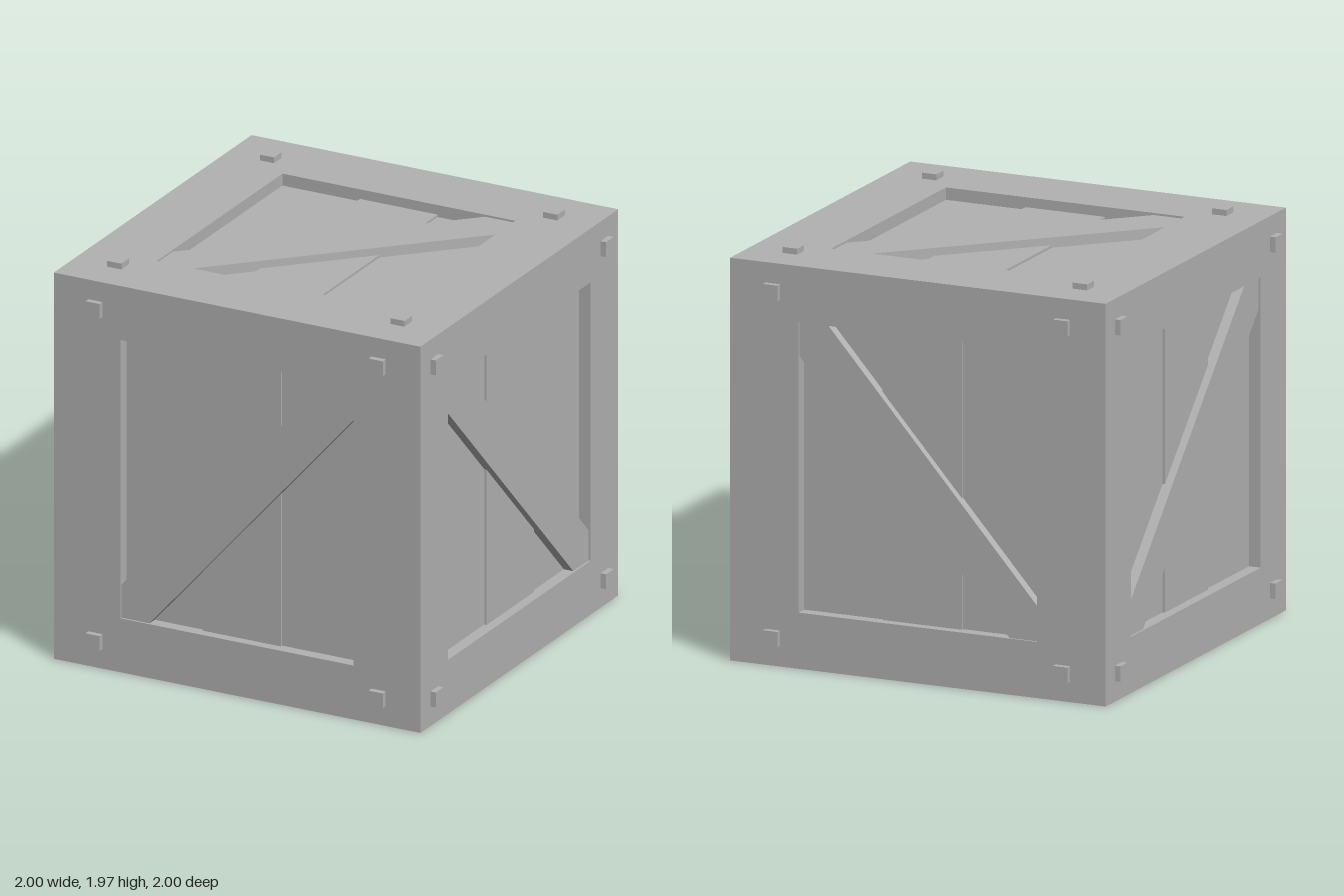
import * as THREE from 'three';

const HALF = 0.971;      // half edge of the crate body
const DEPTH = 0.06;      // recess of the panels behind the frame
const BOLT_OUT = 0.029;  // bolt height above the frame

const wood = new THREE.MeshStandardMaterial({ color: 0xb2b2b2 });
wood.name = 'grey wood';

function part(name, geometry, x = 0, y = 0, z = 0) {
  const mesh = new THREE.Mesh(geometry, wood);
  mesh.name = name;
  mesh.position.set(x, y, z);
  return mesh;
}

function polygon(points) {
  return new THREE.Shape(points.map(([x, y]) => new THREE.Vector2(x, y)));
}

const rect = (w, h) => polygon([[-w, -h], [w, -h], [w, h], [-w, h]]);

// Square frame slab; its rear outer edge is mitred so neighbouring slabs meet cleanly
function frameGeometry(w, h) {
  const shape = rect(HALF, HALF);
  if (w) shape.holes.push(rect(w, h));
  const geo = new THREE.ExtrudeGeometry(shape, { depth: DEPTH, bevelEnabled: false });
  const p = geo.attributes.position;
  for (let i = 0; i < p.count; i++) {
    if (p.getZ(i) < DEPTH / 2 && Math.abs(p.getX(i)) > HALF - 0.01) {
      p.setX(i, Math.sign(p.getX(i)) * (HALF - DEPTH));
      p.setY(i, Math.sign(p.getY(i)) * (HALF - DEPTH));
    }
  }
  geo.computeVertexNormals();
  return geo;
}

// Diagonal board, its ends cut to the corners of the opening
function braceGeometry(w, h, a, b, mirror) {
  const outline = [[-w, -h], [a - w, -h], [w, h - b], [w, h], [w - a, h], [-w, b - h]];
  const shape = polygon(outline.map(([x, y]) => [x * mirror, y]));
  return new THREE.ExtrudeGeometry(shape, { depth: DEPTH - 0.01, bevelEnabled: false });
}

// One crate side facing local +z
function crateSide({ name, w, h, a, b, mirror, bolt }) {
  const side = new THREE.Group();
  side.name = name;
  const floor = HALF - DEPTH;
  side.add(part('frame', frameGeometry(w, h), 0, 0, floor));
  if (!w) return side;

  // Three upright planks, the middle one slightly proud
  const plankWidth = (2 * w) / 3;
  for (const i of [-1, 0, 1]) {
    const thick = i === 0 ? 0.042 : 0.03;
    side.add(part('plank', new THREE.BoxGeometry(plankWidth, 2 * h, thick),
      i * plankWidth, 0, floor - 0.03 + thick / 2));
  }
  side.add(part('brace', braceGeometry(w, h, a, b, mirror), 0, 0, floor));

  // Square bolt heads at the corners
  for (const sx of [-1, 1]) {
    for (const sy of [-1, 1]) {
      side.add(part('bolt', new THREE.BoxGeometry(0.075, 0.075, BOLT_OUT),
        sx * bolt[0], sy * bolt[1], HALF + BOLT_OUT / 2));
    }
  }
  return side;
}

export function createModel() {
  const crate = new THREE.Group();
  crate.name = 'crate';
  const end = { w: 0.617, h: 0.7, a: 0.148, b: 0.165, bolt: [0.75, 0.835] };
  const flank = { w: 0.698, h: 0.7, a: 0.15, b: 0.153, bolt: [0.835, 0.835] };
  const lid = { w: 0.617, h: 0.617, a: 0.16, b: 0.16, bolt: [0.75, 0.75] };
  const sides = [
    { name: 'front', ...end, mirror: 1, turn: [0, 0] },
    { name: 'back', ...end, mirror: -1, turn: [0, Math.PI] },
    { name: 'leftSide', ...flank, mirror: -1, turn: [0, Math.PI / 2] },
    { name: 'rightSide', ...flank, mirror: 1, turn: [0, -Math.PI / 2] },
    { name: 'lid', ...lid, mirror: 1, turn: [-Math.PI / 2, 0] },
    { name: 'base', turn: [Math.PI / 2, 0] },
  ];
  for (const spec of sides) {
    const side = crateSide(spec);
    side.rotation.set(spec.turn[0], spec.turn[1], 0);
    side.position.y = HALF;
    crate.add(side);
  }
  return crate;
}
